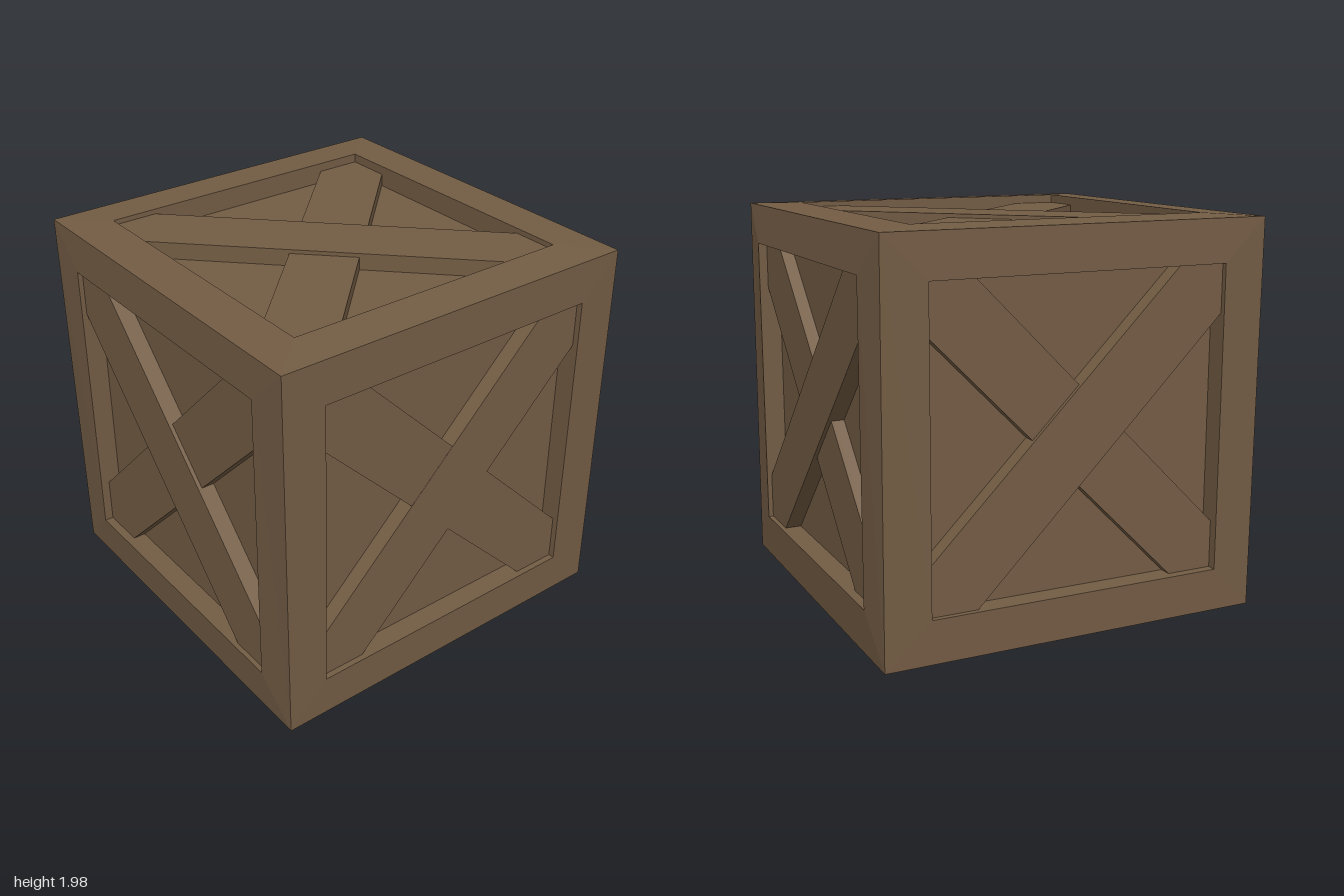
import * as THREE from 'three';

const HALF = 0.765;    // half size of the recessed opening
const DEPTH = 0.11;    // opening to panel
const NOTCH = 0.24;    // half width of a brace, measured along the opening's edge

// Each side: outward, right and up directions, centre of its opening,
// slope of the upper brace, and depths of the upper and lower brace.
const SIDES = [
  { name: 'front', n: [0, 0, 1], u: [1, 0, 0], v: [0, 1, 0], c: [-0.01, 0.995, 0.985], slope: 1, depths: [0.03, 0.031] },
  { name: 'back', n: [0, 0, -1], u: [-1, 0, 0], v: [0, 1, 0], c: [-0.01, 0.995, -0.985], slope: 1, depths: [0.025, 0.045] },
  { name: 'left', n: [1, 0, 0], u: [0, 0, -1], v: [0, 1, 0], c: [1, 1.01, 0], slope: 1, depths: [0.025, 0.045] },
  { name: 'right', n: [-1, 0, 0], u: [0, 0, 1], v: [0, 1, 0], c: [-1, 1, 0], slope: -1, depths: [0.025, 0.045] },
  { name: 'top', n: [0, 1, 0], u: [1, 0, 0], v: [0, 0, -1], c: [-0.01, 1.985, 0], slope: -1, depths: [0.025, 0.045] },
  { name: 'bottom', n: [0, -1, 0], u: [1, 0, 0], v: [0, 0, 1], c: [-0.01, 0.005, 0], slope: -1, depths: [0.025, 0.045] },
];

// Slightly uneven outer corner of the crate, chosen by direction
function crateCorner(d) {
  const inset = d.y > 0 ? 0.01 : 0;
  return new THREE.Vector3(
    d.x > 0 ? 0.985 - inset : -0.985 - inset,
    d.y > 0 ? 1.975 : 0.013,
    d.z > 0 ? 0.98 : -0.98,
  );
}

// Mitred border plus the inner walls of the opening
function frameGeometry(outer) {
  const signs = [[-1, -1], [1, -1], [1, 1], [-1, 1]];
  const rim = signs.map(([a, b]) => new THREE.Vector3(a * HALF, b * HALF, 0));
  const floor = rim.map((p) => p.clone().setZ(-DEPTH));
  const points = [];
  const band = (A, B) => {
    for (let i = 0; i < 4; i++) {
      const j = (i + 1) % 4;
      points.push(A[i], A[j], B[j], A[i], B[j], B[i]);
    }
  };
  band(outer, rim);
  band(rim, floor);
  const g = new THREE.BufferGeometry().setFromPoints(points);
  g.computeVertexNormals();
  return g;
}

// Diagonal plank cut to fit the corners of the opening
function braceGeometry(slope, depth) {
  const h = HALF - 0.001, k = h - NOTCH;
  let pts = [[-h, -h], [-k, -h], [h, k], [h, h], [k, h], [-h, -k]];
  if (slope < 0) pts = pts.map(([x, y]) => [-x, y]).reverse();
  const shape = new THREE.Shape(pts.map(([x, y]) => new THREE.Vector2(x, y)));
  return new THREE.ExtrudeGeometry(shape, { depth: DEPTH - depth, bevelEnabled: false })
    .translate(0, 0, -DEPTH);
}

export function createModel() {
  const wood = new THREE.MeshStandardMaterial({ name: 'brownWood', color: 0x735c44 });
  const crate = new THREE.Group();
  crate.name = 'crate';

  for (const s of SIDES) {
    const [n, u, v, c] = [s.n, s.u, s.v, s.c].map((a) => new THREE.Vector3(...a));
    const matrix = new THREE.Matrix4().makeBasis(u, v, n).setPosition(c);
    const toLocal = matrix.clone().invert();
    const side = new THREE.Group();
    side.name = s.name + 'Side';
    side.applyMatrix4(matrix);

    const add = (name, geometry) => {
      const mesh = new THREE.Mesh(geometry, wood);
      mesh.name = name;
      side.add(mesh);
    };

    const outer = [[-1, -1], [1, -1], [1, 1], [-1, 1]].map(([a, b]) => {
      const dir = n.clone().addScaledVector(u, a).addScaledVector(v, b);
      return crateCorner(dir).applyMatrix4(toLocal);
    });
    add('frame', frameGeometry(outer));
    add('panel', new THREE.PlaneGeometry(2 * HALF, 2 * HALF).translate(0, 0, -DEPTH));
    add('upperBrace', braceGeometry(s.slope, s.depths[0]));
    add('lowerBrace', braceGeometry(-s.slope, s.depths[1]));
    crate.add(side);
  }
  return crate;
}
